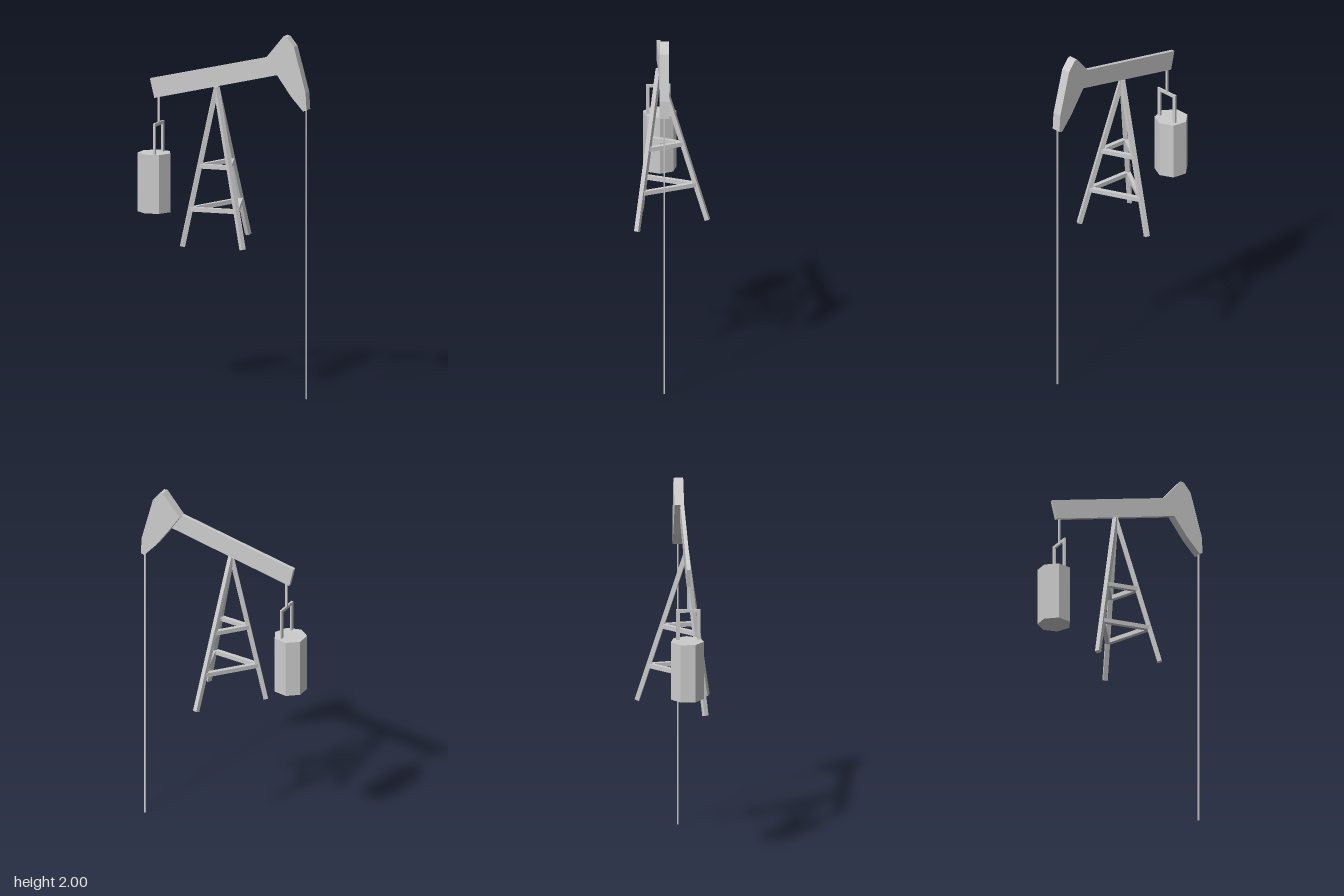
import * as THREE from 'three';

export function createModel() {
  const model = new THREE.Group();
  const material = new THREE.MeshStandardMaterial({ color: 0xcccccc, flatShading: true });

  function add(parent, name, geometry) {
    const mesh = new THREE.Mesh(geometry, material);
    mesh.name = name;
    parent.add(mesh);
    return mesh;
  }

  function box(parent, name, w, h, d, x, y, z) {
    add(parent, name, new THREE.BoxGeometry(w, h, d)).position.set(x, y, z);
  }

  // Square bar running between two points
  function strut(parent, name, a, b, thickness) {
    const bar = add(parent, name, new THREE.BoxGeometry(thickness, thickness, a.distanceTo(b)));
    bar.position.copy(a).lerp(b, 0.5);
    bar.lookAt(b);
  }

  // Flat outline in x and y, given thickness from z0 to z1
  function plate(name, points, z0, z1) {
    const shape = new THREE.Shape(points.map(([x, y]) => new THREE.Vector2(x, y)));
    const geometry = new THREE.ExtrudeGeometry(shape, { depth: z1 - z0, bevelEnabled: false });
    add(model, name, geometry.translate(0, 0, z0));
  }

  // Tilted walking beam and its wider head
  plate('walkingBeam', [[-0.434, 1.712], [-0.408, 1.606], [0.318, 1.782], [0.254, 1.876]], 0.052, 0.073);
  plate('beamHead', [
    [0.254, 1.876], [0.318, 1.782], [0.4, 1.67], [0.472, 1.592], [0.493, 1.6],
    [0.487, 1.696], [0.418, 1.945], [0.376, 1.996], [0.357, 2.0],
  ], 0.021, 0.073);

  // Long pump rod under the head
  box(model, 'pumpRod', 0.008, 1.62, 0.008, 0.481, 0.81, 0.049);

  // Tripod with two rings of cross braces
  const tripod = new THREE.Group();
  tripod.name = 'tripod';
  model.add(tripod);
  const apex = new THREE.Vector3(-0.042, 1.69, 0.068);
  const feet = [[-0.202, 0.815, 0.165], [0.165, 0.825, 0.19], [0.034, 0.842, -0.195]]
    .map((p) => new THREE.Vector3(...p));
  feet.forEach((foot, i) => {
    strut(tripod, 'leg', apex, foot, 0.025);
    const next = feet[(i + 1) % 3];
    for (const t of [0.495, 0.765]) {
      strut(tripod, 'crossBrace', apex.clone().lerp(foot, t), apex.clone().lerp(next, t), 0.024);
    }
  });

  // Seven-sided counterweight on its forked hanger
  const weight = new THREE.Group();
  weight.name = 'counterweightAssembly';
  model.add(weight);
  add(weight, 'counterweight', new THREE.CylinderGeometry(0.0925, 0.0925, 0.325, 7, 1, false, Math.PI / 2))
    .position.set(-0.413, 1.14, 0.055);
  box(weight, 'hangerRod', 0.011, 0.17, 0.011, -0.386, 1.545, 0.062);
  box(weight, 'hangerCrossbar', 0.011, 0.018, 0.133, -0.386, 1.465, 0.063);
  for (const z of [0.006, 0.12]) {
    box(weight, 'hangerArm', 0.011, 0.18, 0.019, -0.386, 1.38, z);
  }

  return model;
}
